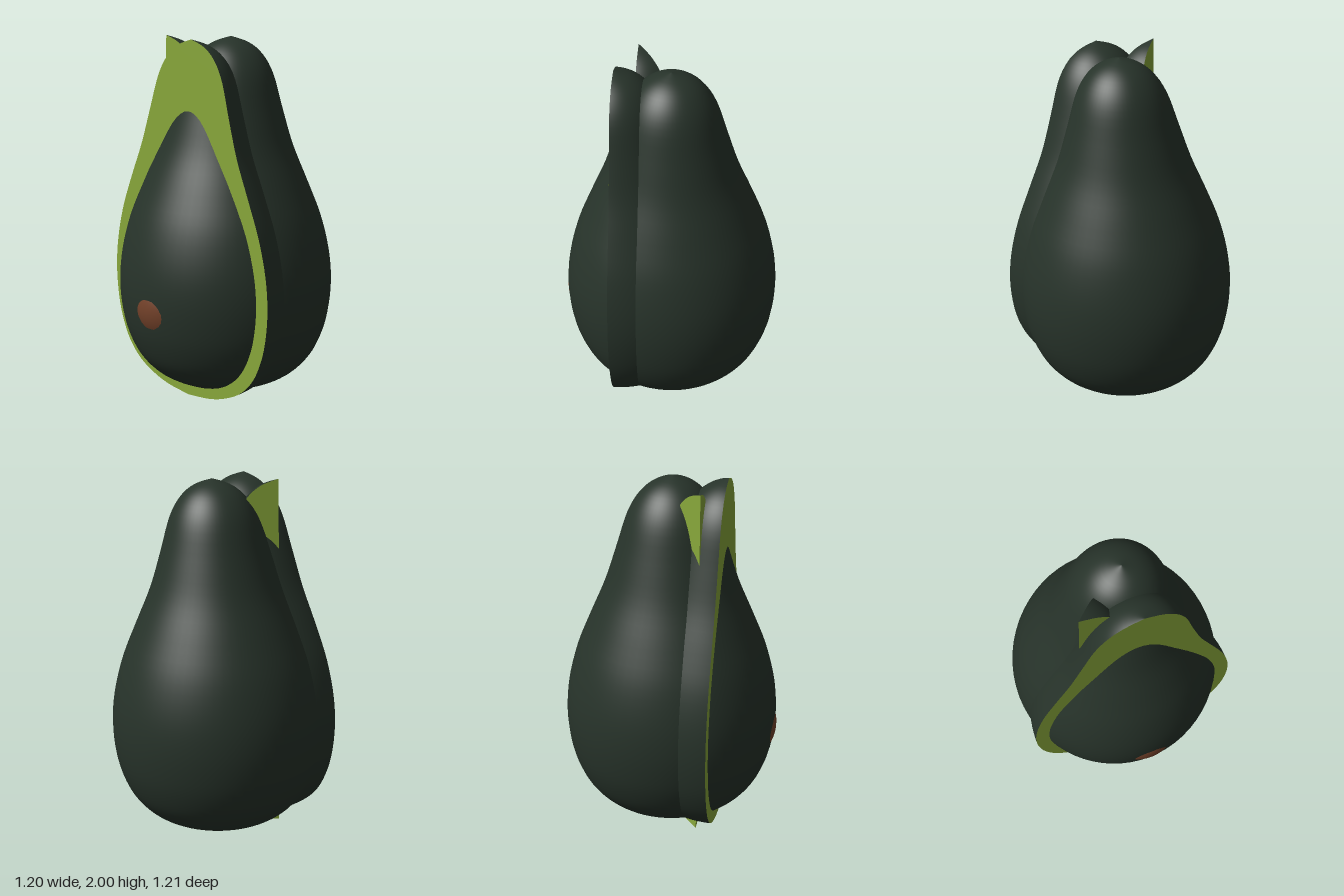
import * as THREE from 'three';

const skin = new THREE.MeshStandardMaterial({ color: 0x27332a });
skin.name = 'dark green skin';
const flesh = new THREE.MeshStandardMaterial({ color: 0x89a83b, side: THREE.DoubleSide });
flesh.name = 'green flesh';
const stone = new THREE.MeshStandardMaterial({ color: 0x74422a });
stone.name = 'brown stone';

// Pear profile as (radius, height), bottom to top
const profile = new THREE.SplineCurve([
  [0, 0], [0.17, 0.02], [0.3, 0.06], [0.41, 0.12], [0.495, 0.21], [0.55, 0.32], [0.585, 0.45],
  [0.6, 0.62], [0.585, 0.8], [0.535, 1], [0.455, 1.2], [0.37, 1.4], [0.305, 1.6], [0.245, 1.79],
  [0.18, 1.9], [0.1, 1.965], [0, 2],
].map(([r, y]) => new THREE.Vector2(r, y))).getPoints(64);
profile.forEach((p) => { p.x = Math.max(0, p.x); });

// The neck leans slightly towards +x
function lean(geometry) {
  const pos = geometry.attributes.position;
  for (let i = 0; i < pos.count; i++) {
    const t = Math.max(0, pos.getY(i) - 1);
    pos.setX(i, pos.getX(i) + 0.04 * t * t);
  }
  return geometry;
}

function part(name, geometry, material) {
  const mesh = new THREE.Mesh(geometry, material);
  mesh.name = name;
  return mesh;
}

const skinOf = (start, length) => lean(new THREE.LatheGeometry(profile, 64, start, length));

// Flat cut from the axis to the skin, turned about the axis
const cutFace = (angle) => lean(new THREE.ShapeGeometry(new THREE.Shape(profile)).rotateY(angle));

export function createModel() {
  const model = new THREE.Group();
  model.name = 'avocado';

  // Whole fruit
  model.add(part('wholeFruit', skinOf(0, Math.PI * 2), skin));

  // Half fruit with its cut face to the front
  const half = new THREE.Group();
  half.name = 'halfFruit';
  half.position.z = 0.3;
  const outline = [...profile, ...profile.slice(1, -1).reverse().map((p) => new THREE.Vector2(-p.x, p.y))];
  half.add(
    part('halfSkin', skinOf(Math.PI / 2, Math.PI), skin),
    part('halfCutFace', lean(new THREE.ShapeGeometry(new THREE.Shape(outline))), flesh),
  );
  model.add(half);

  // Wedge with two cut faces
  const slice = new THREE.Group();
  slice.name = 'slice';
  slice.position.set(-0.3, 0, 0.2);
  slice.add(
    part('sliceSkin', skinOf(Math.PI / 2, Math.PI / 4), skin),
    part('sliceFrontFace', cutFace(0), flesh),
    part('sliceBackFace', cutFace(Math.PI / 4), flesh),
  );
  model.add(slice);

  // Stone showing through the front
  const seed = part('stone', new THREE.SphereGeometry(0.25, 48, 32), stone);
  seed.position.set(0, 0.56, 0.358);
  model.add(seed);

  return model;
}
